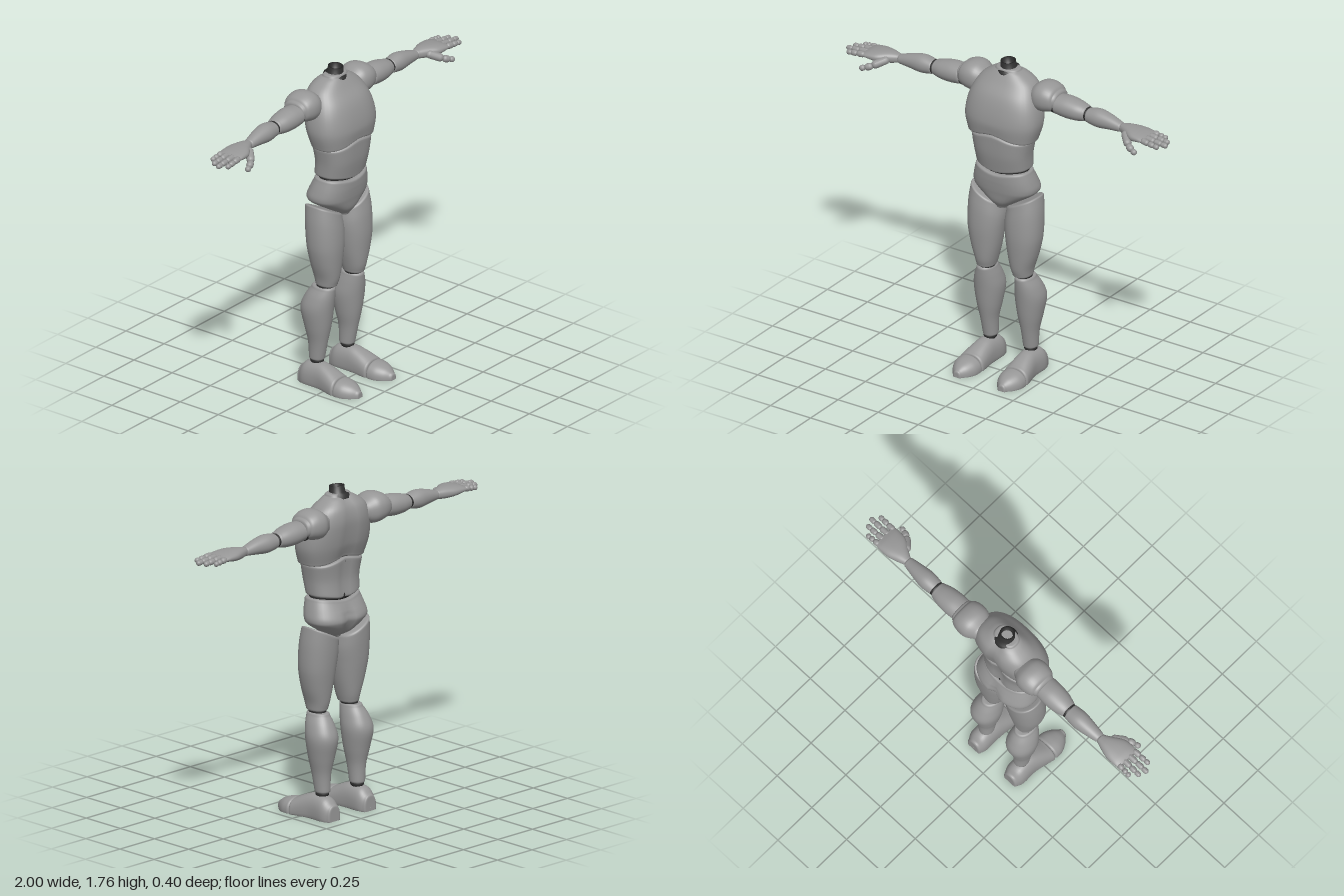
import * as THREE from 'three';

const bodyGrey = new THREE.MeshStandardMaterial({ color: 0x979797 });
bodyGrey.name = 'body grey';
const jointDark = new THREE.MeshStandardMaterial({ color: 0x303030, side: THREE.DoubleSide });
jointDark.name = 'joint dark';

const spline = (a, b, c, d, t) =>
  b + 0.5 * t * (c - a + t * (2 * a - 5 * b + 4 * c - d + t * (3 * (b - c) + d - a)));
const bump = (x, w) => Math.exp(-((x / w) ** 2));
const clamp = THREE.MathUtils.clamp;

// Axis orders: section = [along, aMin, aMax, bMin, bMax]
const ALONG_Y = (t, a, b) => new THREE.Vector3(b, t, a); // [y, z, z, x, x]
const ALONG_X = (t, a, b) => new THREE.Vector3(t, a, b); // [x, y, y, z, z]
const ALONG_Z = (t, a, b) => new THREE.Vector3(a, b, t); // [z, x, x, y, y]

// Smooth loft through superellipse sections, with rounded closed ends
function loft(sections, place, { n = 2.3, round = 0.012, warp = null, sides = 40 } = {}) {
  const rings = [];
  const last = sections.length - 1;
  const at = (i) => sections[clamp(i, 0, last)];
  for (let i = 0; i < last; i++)
    for (let k = 0; k < 5; k++)
      rings.push(at(i).map((_, j) => spline(at(i - 1)[j], at(i)[j], at(i + 1)[j], at(i + 2)[j], k / 5)));
  rings.push(sections[last]);
  const cap = (s, dir, phi) => {
    const d = round * (1 - Math.cos(phi));
    return [s[0] + dir * round * Math.sin(phi), s[1] + d, s[2] - d, s[3] + d, s[4] - d];
  };
  for (let k = 1; k <= 4; k++) {
    rings.unshift(cap(sections[0], -1, (k * Math.PI) / 8));
    rings.push(cap(sections[last], 1, (k * Math.PI) / 8));
  }
  const pos = [], index = [];
  const add = (t, a, b) => {
    const v = place(t, a, b);
    if (warp) warp(v);
    pos.push(v.x, v.y, v.z);
  };
  const pw = (c) => Math.sign(c) * Math.abs(c) ** (2 / n);
  // shrinking inner rings close each end
  const inner = (s, f) => {
    const a = (s[1] + s[2]) / 2, b = (s[3] + s[4]) / 2;
    return [s[0], a + (s[1] - a) * f, a + (s[2] - a) * f, b + (s[3] - b) * f, b + (s[4] - b) * f];
  };
  const first = rings[0], end = rings[rings.length - 1];
  for (const f of [0.85, 0.45, 0.01]) {
    rings.unshift(inner(first, f));
    rings.push(inner(end, f));
  }
  rings.forEach(([t, a0, a1, b0, b1], i) => {
    for (let j = 0; j < sides; j++) {
      const q = (j / sides) * Math.PI * 2;
      add(t, (a0 + a1) / 2 + ((a1 - a0) / 2) * pw(Math.cos(q)), (b0 + b1) / 2 + ((b1 - b0) / 2) * pw(Math.sin(q)));
      if (i === rings.length - 1) continue;
      const p = i * sides + j, r = i * sides + ((j + 1) % sides);
      index.push(p, r, p + sides, r, r + sides, p + sides);
    }
  });
  const g = new THREE.BufferGeometry();
  g.setAttribute('position', new THREE.Float32BufferAttribute(pos, 3));
  g.setIndex(index);
  g.computeVertexNormals();
  return g;
}

function mirrored(geometry) {
  const g = geometry.clone().scale(-1, 1, 1);
  const ix = g.index.array;
  for (let i = 0; i < ix.length; i += 3) [ix[i], ix[i + 1]] = [ix[i + 1], ix[i]];
  g.computeVertexNormals();
  return g;
}

const ellipsoid = (x, y, z, rx, ry, rz) =>
  new THREE.SphereGeometry(1, 24, 16).scale(rx, ry, rz).translate(x, y, z);

// Capsule between two points
function capsule(a, b, r) {
  const d = b.clone().sub(a);
  const g = new THREE.CapsuleGeometry(r, Math.max(d.length() - 2 * r, 0.001), 5, 14);
  g.applyQuaternion(new THREE.Quaternion().setFromUnitVectors(new THREE.Vector3(0, 1, 0), d.normalize()));
  const m = a.clone().add(b).multiplyScalar(0.5);
  return g.translate(m.x, m.y, m.z);
}

export function createModel() {
  const model = new THREE.Group();
  model.name = 'jointedMannequin';
  const part = (name, geometry, material = bodyGrey) => {
    const mesh = new THREE.Mesh(geometry, material);
    mesh.name = name;
    model.add(mesh);
  };
  const pair = (name, geometry, material) => {
    part('left ' + name, geometry, material);
    part('right ' + name, mirrored(geometry), material);
  };

  // Torso: arched rib edge, spine groove, dipped waist edge
  const spine = (v, depth) => { if (v.z < -0.07) v.z += depth * bump(v.x, 0.03); };
  part('chest', loft([
    [1.37, -0.142, 0.085, -0.198, 0.198], [1.45, -0.165, 0.092, -0.218, 0.218],
    [1.53, -0.182, 0.08, -0.212, 0.212], [1.6, -0.19, 0.055, -0.19, 0.19],
    [1.66, -0.18, 0.012, -0.155, 0.155], [1.7, -0.152, -0.015, -0.1, 0.1],
    [1.715, -0.13, -0.025, -0.07, 0.07],
  ], ALONG_Y, { n: 2.5, warp: (v) => {
    v.y += 0.03 * bump(v.x, 0.1) * clamp((1.46 - v.y) / 0.09, 0, 1);
    spine(v, 0.014);
  } }));
  part('abdomen', loft([
    [1.2, -0.142, 0.06, -0.155, 0.155], [1.27, -0.138, 0.078, -0.161, 0.161],
    [1.345, -0.15, 0.086, -0.174, 0.174],
  ], ALONG_Y, { n: 2.5, warp: (v) => {
    v.y += 0.03 * bump(v.x, 0.1) * clamp((v.y - 1.27) / 0.07, 0, 1);
    v.y -= 0.022 * bump(v.x, 0.1) * clamp((1.27 - v.y) / 0.07, 0, 1);
    spine(v, 0.014);
  } }));
  part('pelvis', loft([
    [0.95, -0.1, 0.012, -0.035, 0.035], [0.985, -0.145, 0.036, -0.09, 0.09],
    [1.035, -0.176, 0.048, -0.168, 0.168], [1.065, -0.182, 0.054, -0.185, 0.185],
    [1.11, -0.165, 0.06, -0.177, 0.177], [1.165, -0.142, 0.063, -0.16, 0.16],
  ], ALONG_Y, { n: 2.4, warp: (v) => {
    v.y -= 0.02 * bump(v.x, 0.1) * clamp((v.y - 1.1) / 0.06, 0, 1);
    if (v.z < -0.07) v.z += 0.025 * bump(v.x, 0.028) * clamp((1.14 - v.y) / 0.06, 0, 1);
  } }));
  part('rib joint', ellipsoid(0, 1.365, -0.03, 0.165, 0.05, 0.105), jointDark);
  part('waist joint', ellipsoid(0, 1.18, -0.04, 0.145, 0.05, 0.09), jointDark);

  // Hollow neck stub with a flared collar
  const neck = [[0.066, 1.7], [0.06, 1.722], [0.042, 1.73], [0.04, 1.765], [0.032, 1.765], [0.03, 1.725], [0.001, 1.722]];
  part('neck', new THREE.LatheGeometry(neck.map(([r, y]) => new THREE.Vector2(r, y - 1.72)), 32)
    .rotateX(0.1).translate(0, 1.716, -0.076), jointDark);

  // Arms
  pair('shoulder', loft([
    [0.15, 1.54, 1.655, -0.17, -0.04], [0.19, 1.526, 1.682, -0.196, -0.018],
    [0.235, 1.528, 1.686, -0.2, -0.014], [0.275, 1.54, 1.672, -0.19, -0.024],
    [0.29, 1.552, 1.655, -0.177, -0.038],
  ], ALONG_X, { n: 2.3, round: 0.016 }));
  pair('shoulder joint', ellipsoid(0.285, 1.585, -0.103, 0.05, 0.056, 0.06), jointDark);
  pair('upper arm', loft([
    [0.305, 1.532, 1.638, -0.165, -0.036], [0.36, 1.525, 1.64, -0.168, -0.036],
    [0.42, 1.526, 1.63, -0.163, -0.043], [0.463, 1.533, 1.617, -0.152, -0.056],
  ], ALONG_X, { n: 2.1 }));
  pair('elbow joint', ellipsoid(0.478, 1.574, -0.104, 0.03, 0.037, 0.043), jointDark);
  pair('forearm', loft([
    [0.491, 1.532, 1.612, -0.147, -0.058], [0.55, 1.523, 1.621, -0.152, -0.053],
    [0.62, 1.53, 1.608, -0.141, -0.06], [0.683, 1.536, 1.588, -0.127, -0.068],
  ], ALONG_X, { n: 2.1, round: 0.01 }));
  pair('palm', loft([
    [0.7, 1.537, 1.586, -0.124, -0.07], [0.74, 1.531, 1.592, -0.138, -0.046],
    [0.79, 1.532, 1.592, -0.152, -0.016], [0.84, 1.54, 1.586, -0.153, -0.01],
    [0.87, 1.547, 1.577, -0.15, -0.011],
  ], ALONG_X, { n: 2.3, round: 0.008 }));

  // Three-jointed fingers: root z, tip x, tip z
  const V = (x, y, z) => new THREE.Vector3(x, y, z);
  const fingers = [['index', -0.026, 0.972, -0.02], ['middle', -0.062, 1, -0.06],
    ['ring', -0.099, 0.985, -0.1], ['little', -0.134, 0.947, -0.138]];
  for (const [name, z0, x1, z1] of fingers) {
    const root = V(0.86, 1.564, z0), tip = V(x1, 1.553, z1);
    [[0, 0.45], [0.4, 0.76], [0.7, 1]].forEach(([a, b], i) => pair(`${name} finger ${i + 1}`,
      capsule(root.clone().lerp(tip, a), root.clone().lerp(tip, b), 0.0165 - i * 0.0012)));
  }
  const thumb = [V(0.745, 1.558, -0.05), V(0.8, 1.528, 0.004), V(0.835, 1.515, 0.018), V(0.862, 1.508, 0.027)];
  for (let i = 0; i < 3; i++) {
    const back = thumb[i].clone().lerp(thumb[i + 1], -0.2);
    pair(`thumb ${i + 1}`, capsule(back, thumb[i + 1], 0.022 - i * 0.003));
  }

  // Legs: thigh tops slant up to the hip
  pair('thigh', loft([
    [0.58, -0.102, 0.018, 0.062, 0.163], [0.62, -0.112, 0.029, 0.051, 0.171],
    [0.7, -0.125, 0.039, 0.033, 0.196], [0.8, -0.14, 0.046, 0.018, 0.215],
    [0.9, -0.151, 0.042, 0.012, 0.216], [0.98, -0.157, 0.03, 0.018, 0.205],
  ], ALONG_Y, { n: 2.2, warp: (v) => {
    v.y += (v.x - 0.11) * 0.5 * clamp((v.y - 0.8) / 0.18, 0, 1);
  } }));
  pair('knee joint', ellipsoid(0.115, 0.567, -0.048, 0.043, 0.03, 0.05), jointDark);
  pair('calf', loft([
    [0.148, -0.138, -0.052, 0.086, 0.164], [0.24, -0.142, -0.034, 0.08, 0.173],
    [0.33, -0.162, -0.016, 0.062, 0.192], [0.43, -0.182, -0.002, 0.049, 0.206],
    [0.5, -0.158, 0.007, 0.057, 0.192], [0.55, -0.125, 0.011, 0.069, 0.168],
  ], ALONG_Y, { n: 2.1 }));
  pair('ankle joint', ellipsoid(0.126, 0.132, -0.094, 0.034, 0.025, 0.038), jointDark);

  // Feet with flat soles and separate toes
  const sole = (v) => { v.y = Math.max(v.y, 0); };
  pair('foot', loft([
    [-0.178, 0.085, 0.175, -0.05, 0.088], [-0.14, 0.073, 0.19, -0.05, 0.12],
    [-0.06, 0.073, 0.19, -0.05, 0.128], [0, 0.07, 0.2, -0.05, 0.112],
    [0.058, 0.064, 0.213, -0.05, 0.086],
  ], ALONG_Z, { n: 2.3, warp: sole }));
  pair('toes', loft([
    [0.082, 0.065, 0.214, -0.05, 0.079], [0.12, 0.069, 0.21, -0.05, 0.073],
    [0.16, 0.088, 0.19, -0.045, 0.058], [0.187, 0.113, 0.165, -0.03, 0.038],
  ], ALONG_Z, { n: 2.2, warp: sole }));
  return model;
}
